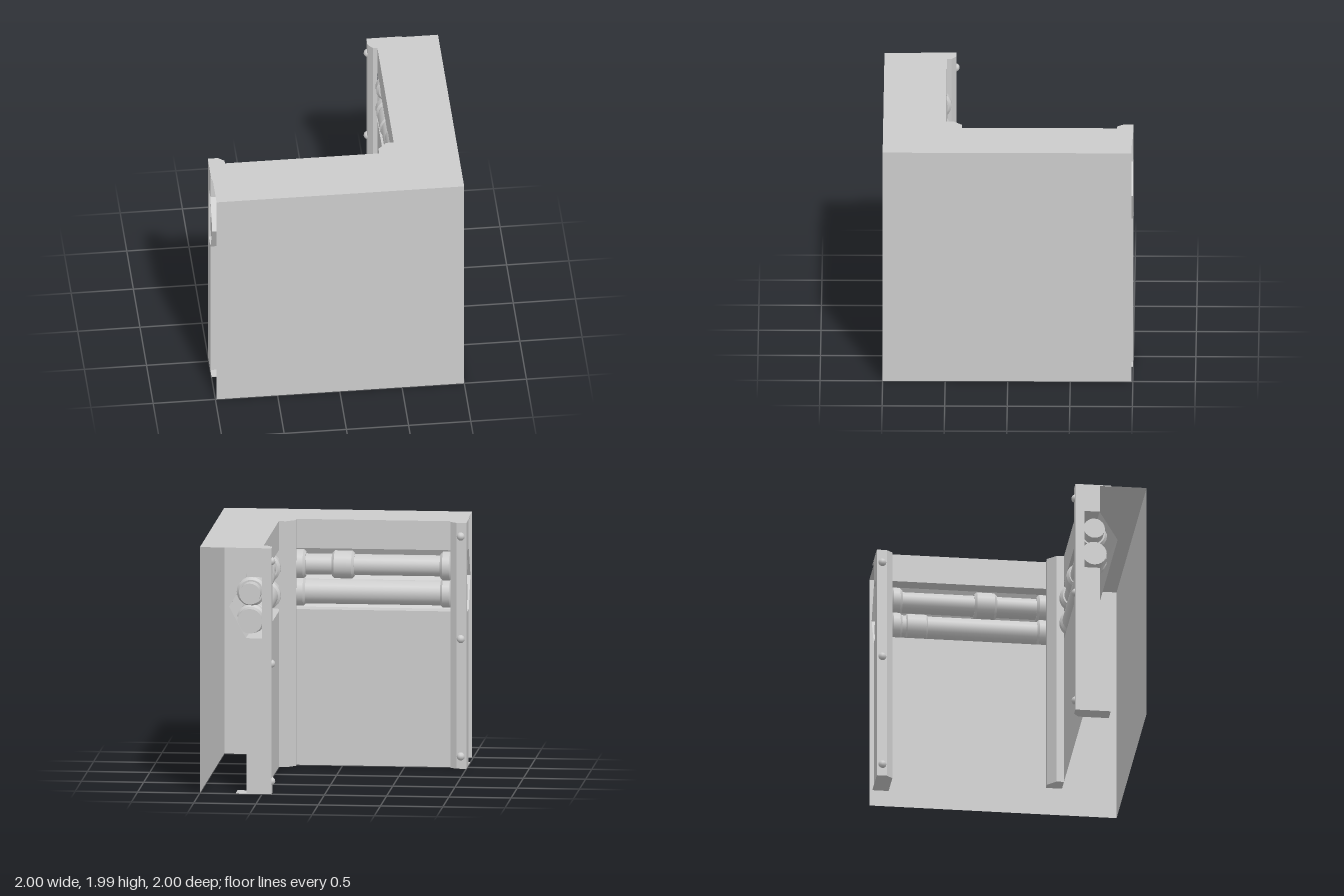
import * as THREE from 'three';

const mat = new THREE.MeshStandardMaterial({ color: 0xcccccc, side: THREE.DoubleSide });
const H = 1.99;            // wall height
const LOW = 1.26, HIGH = 1.755; // pipe recess

function add(parent, name, geo, x = 0, y = 0, z = 0) {
  const m = new THREE.Mesh(geo, mat);
  m.name = name;
  m.position.set(x, y, z);
  parent.add(m);
  return m;
}

const shapeOf = (pts) => new THREE.Shape(pts.map(([x, z]) => new THREE.Vector2(x, z)));

// Vertical prism from an (x, z) outline, standing on y = 0
function prism(pts, h) {
  const g = new THREE.ExtrudeGeometry(shapeOf(pts), { depth: h, bevelEnabled: false });
  return g.rotateX(Math.PI / 2).translate(0, h, 0);
}

// Box given by its limits
function block(parent, name, x0, x1, y0, y1, z0, z1) {
  add(parent, name, new THREE.BoxGeometry(x1 - x0, y1 - y0, z1 - z0),
    (x0 + x1) / 2, (y0 + y1) / 2, (z0 + z1) / 2);
}

// Upright sheet facing the given direction along z
function sheet(parent, name, x0, x1, y0, y1, z, back) {
  const g = new THREE.PlaneGeometry(x1 - x0, y1 - y0);
  if (back) g.rotateY(Math.PI);
  add(parent, name, g, (x0 + x1) / 2, (y0 + y1) / 2, z);
}

// Faceted channel: (z, y) profile swept along x
function channel(profile, x0, x1) {
  const pos = [];
  for (let i = 0; i < profile.length - 1; i++) {
    const [za, ya] = profile[i], [zb, yb] = profile[i + 1];
    pos.push(x0, ya, za, x0, yb, zb, x1, yb, zb, x0, ya, za, x1, yb, zb, x1, ya, za);
  }
  const g = new THREE.BufferGeometry();
  g.setAttribute('position', new THREE.Float32BufferAttribute(pos, 3));
  g.computeVertexNormals();
  return g;
}

function rod(parent, name, r, x0, x1, y, z) {
  const g = new THREE.CylinderGeometry(r, r, x1 - x0, 20).rotateZ(Math.PI / 2);
  add(parent, name, g, (x0 + x1) / 2, y, z);
}

// Sleeve with chamfered ends
function sleeve(parent, name, r, x0, x1, y, z) {
  const c = 0.02;
  rod(parent, name, r, x0 + c, x1 - c, y, z);
  for (const [x, a, b] of [[x0 + c / 2, r, r - c], [x1 - c / 2, r - c, r]]) {
    add(parent, name + 'Chamfer', new THREE.CylinderGeometry(b, a, c, 20).rotateZ(Math.PI / 2).scale(-1, 1, 1)
      .rotateY(Math.PI), x, y, z);
  }
}

// One wall arm running along x, with its open end at x = -1
function arm(name, pipeZ, sleeves) {
  const g = new THREE.Group();
  g.name = name;
  sheet(g, 'outerWall', -0.99, 1, 0, H, 1, false);
  sheet(g, 'innerWallLower', -0.9, 0.5, 0, LOW, 0.5, true);
  sheet(g, 'innerWallUpper', -0.9, 0.5, HIGH, H, 0.5, true);

  // End post, interrupted behind its front strip by the pipe recess
  add(g, 'postStrip', prism([[-1, 0.425], [-0.92, 0.425], [-0.87, 0.465], [-0.87, 0.5], [-1, 0.5]], H));
  block(g, 'postLower', -1, -0.87, 0, LOW, 0.5, 0.625);
  block(g, 'postUpper', -1, -0.87, HIGH, H, 0.5, 0.625);
  block(g, 'footPlate', -1, -0.87, 0, 0.008, 0.625, 0.71);
  block(g, 'headPlate', -1, -0.87, H - 0.008, H, 0.625, 0.71);
  for (const y of [0.1, 1.05, 1.88]) {
    add(g, 'bolt', new THREE.SphereGeometry(0.034, 12, 8), -0.955, y, 0.432);
  }

  // Recess and its two pipes
  add(g, 'pipeRecess', channel([[0.5, HIGH], [0.62, HIGH], [0.765, 1.515], [0.63, LOW], [0.5, LOW]], -1, 0.5));
  const pipes = [['upperPipe', 1.615, 0.085], ['lowerPipe', 1.395, 0.1]];
  pipes.forEach(([pipe, y, r], i) => {
    rod(g, pipe, r, -0.985, 0.48, y, pipeZ);
    sleeve(g, pipe + 'Collar', 0.118, -0.875, -0.78, y, pipeZ);
    sleeve(g, pipe + 'Collar', 0.118, 0.3, 0.42, y, pipeZ);
    for (const [row, x0, x1] of sleeves) {
      if (row === i) sleeve(g, pipe + 'Sleeve', 0.113, x0, x1, y, pipeZ);
    }
  });
  return g;
}

export function createModel() {
  const model = new THREE.Group();
  model.name = 'cornerWall';

  model.add(arm('frontArm', 0.58, [[0, -0.09, 0.09]]));
  // Same arm with x and z exchanged
  const side = arm('sideArm', 0.6, [[0, -0.2, -0.02], [1, -0.76, -0.57]]);
  side.scale.x = -1;
  side.rotation.y = Math.PI / 2;
  model.add(side);

  // Chamfered column in the inner corner
  const corner = [[0.5, 0.37], [0.44, 0.37], [0.37, 0.44], [0.37, 0.5]];
  add(model, 'cornerColumn', prism([...corner, [0.5, 0.5]], H));

  // L-shaped top
  const roof = new THREE.ShapeGeometry(shapeOf(
    [[-0.99, 1], [1, 1], [1, -0.99], [0.5, -0.99], ...corner, [-0.99, 0.5]]));
  add(model, 'roof', roof.scale(1, -1, 1).rotateX(-Math.PI / 2), 0, H, 0);
  return model;
}
